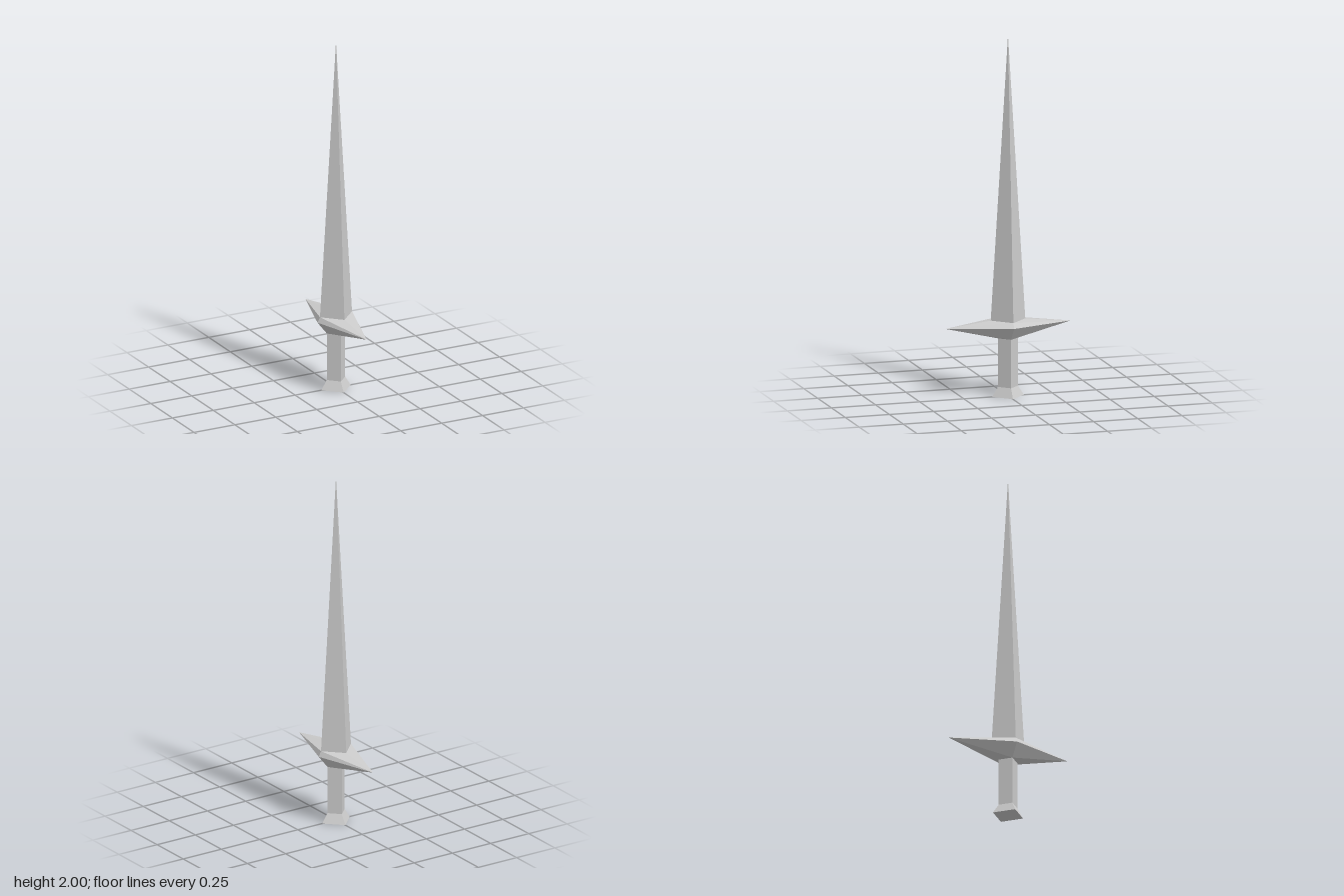
import * as THREE from 'three';

// Lofts diamond-shaped rings [y, halfX, halfZ], listed bottom to top.
// The fold of each side runs from the longest z corner.
function diamondLoft(rings, capBottom = false) {
  const pos = [];
  const corners = ([y, x, z]) => [[0, y, z], [x, y, 0], [0, y, -z], [-x, y, 0]];
  const tri = (...points) => points.forEach((p) => pos.push(...p));
  for (let i = 0; i < rings.length - 1; i++) {
    const lo = corners(rings[i]);
    const up = corners(rings[i + 1]);
    const widerBelow = rings[i][2] > rings[i + 1][2];
    const pointed = rings[i + 1][1] === 0;
    for (let k = 0; k < 4; k++) {
      const n = (k + 1) % 4;
      const a = lo[k], b = lo[n], c = up[n], d = up[k];
      if (pointed) {
        tri(a, b, c);
      } else if ((k % 2 === 0) === widerBelow) {
        tri(a, b, c);
        tri(a, c, d);
      } else {
        tri(a, b, d);
        tri(b, c, d);
      }
    }
  }
  if (capBottom) {
    const [a, b, c, d] = corners(rings[0]);
    tri(a, c, b);
    tri(a, d, c);
  }
  const geometry = new THREE.BufferGeometry();
  geometry.setAttribute('position', new THREE.Float32BufferAttribute(pos, 3));
  geometry.computeVertexNormals();
  return geometry;
}

export function createModel() {
  const group = new THREE.Group();
  group.name = 'dagger';
  const steel = new THREE.MeshStandardMaterial({ color: 0xcccccc });
  steel.name = 'pale grey steel';
  steel.flatShading = true;

  const add = (name, rings, capBottom) => {
    const mesh = new THREE.Mesh(diamondLoft(rings, capBottom), steel);
    mesh.name = name;
    group.add(mesh);
  };

  // Flared foot of the grip
  add('pommel', [[0, 0.09, 0.09], [0.053, 0.056, 0.056]], true);
  // Straight square grip
  add('grip', [[0.053, 0.056, 0.056], [0.322, 0.056, 0.056]]);
  // Crossguard drawn out to points at front and back
  add('crossguard', [[0.322, 0.056, 0.056], [0.394, 0.113, 0.355], [0.423, 0.098, 0.098]]);
  // Long four-sided blade tapering to a point
  add('blade', [[0.423, 0.098, 0.098], [2, 0, 0]]);

  return group;
}
